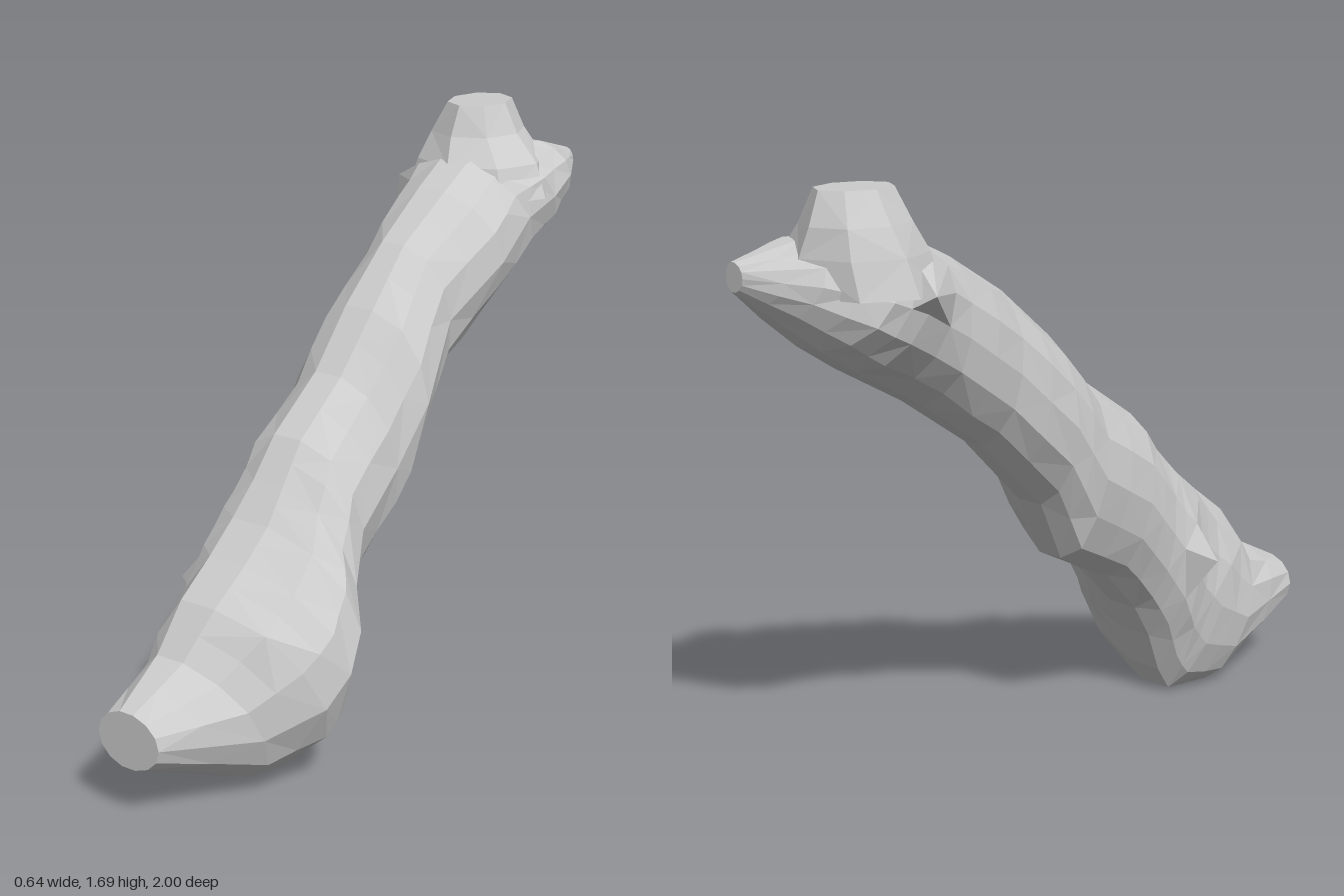
import * as THREE from 'three';

const SIDES = 14;

// Small seeded noise in -1..1
function noise(a, b) {
  const s = Math.sin(a * 12.9898 + b * 78.233) * 43758.5453;
  return (s - Math.floor(s)) * 2 - 1;
}

// Skin a list of closed rings (arrays of Vector3), capping both ends
function loft(rings) {
  const n = rings[0].length, last = rings.length - 1;
  const pos = rings.flat().flatMap((p) => p.toArray());
  const index = [];
  for (let i = 0; i < last; i++) {
    for (let j = 0; j < n; j++) {
      const k = (j + 1) % n;
      const a = i * n + j, b = i * n + k, c = a + n, d = b + n;
      if ((i + j) % 2) index.push(a, c, b, b, c, d);
      else index.push(a, c, d, a, d, b);
    }
  }
  for (let j = 1; j < n - 1; j++) {
    index.push(0, j, j + 1);
    index.push(last * n, last * n + j + 1, last * n + j);
  }
  const indexed = new THREE.BufferGeometry();
  indexed.setAttribute('position', new THREE.Float32BufferAttribute(pos, 3));
  indexed.setIndex(index);
  const flat = indexed.toNonIndexed();
  flat.computeVertexNormals();
  return flat;
}

// Slanted section: upper edge (z, y), lower edge (z, y), ridge x, min x, max x
function section([zu, yu, zl, yl, x0, xMin, xMax], i, rough) {
  return Array.from({ length: SIDES }, (_, j) => {
    const t = (j / SIDES) * Math.PI * 2;
    const c = Math.cos(t), s = Math.sin(t);
    const k = Math.abs(s) > 0.97 || Math.abs(c) > 0.97 ? 1 : 1 + rough * noise(i, j);
    return new THREE.Vector3(
      x0 + c * k * (c > 0 ? xMax - x0 : x0 - xMin),
      (yu + yl) / 2 + (s * k * (yu - yl)) / 2,
      (zu + zl) / 2 + (s * k * (zu - zl)) / 2
    );
  });
}

// Insert a halfway section between each pair
function subdivide(specs) {
  return specs.flatMap((spec, i) => {
    const next = specs[i + 1];
    return next ? [spec, spec.map((v, k) => (v + next[k]) / 2)] : [spec];
  });
}

// Pull the nearest skin point out to the tip of a knot
function pullKnot(rings, tip) {
  const nearest = rings.flat().reduce((a, b) =>
    (b.distanceToSquared(tip) < a.distanceToSquared(tip) ? b : a));
  nearest.copy(tip);
}

export function createModel() {
  const group = new THREE.Group();
  group.name = 'gnarledLimb';
  const material = new THREE.MeshStandardMaterial({ color: 0xcccccc, flatShading: true });

  // Main limb, from the blunt front foot up to the pointed rear knob
  const limbSpecs = subdivide([
    [1.00, 0.34, 1.00, 0.17, -0.07, -0.17, 0.04],
    [0.82, 0.43, 0.65, 0.00, -0.08, -0.215, 0.19],
    [0.72, 0.56, 0.48, 0.01, -0.07, -0.22, 0.30],
    [0.60, 0.65, 0.44, 0.08, -0.06, -0.22, 0.325],
    [0.50, 0.73, 0.40, 0.20, -0.05, -0.235, 0.31],
    [0.42, 0.82, 0.35, 0.30, -0.04, -0.21, 0.25],
    [0.33, 0.93, 0.23, 0.43, -0.03, -0.21, 0.20],
    [0.13, 1.06, 0.03, 0.53, -0.03, -0.215, 0.18],
    [-0.02, 1.22, -0.05, 0.71, -0.03, -0.21, 0.21],
    [-0.20, 1.37, -0.28, 0.93, -0.03, -0.19, 0.15],
    [-0.40, 1.49, -0.50, 1.08, -0.03, -0.21, 0.20],
    [-0.53, 1.55, -0.74, 1.21, -0.03, -0.25, 0.18],
    [-0.66, 1.57, -0.84, 1.28, 0.00, -0.25, 0.20],
    [-0.84, 1.57, -0.92, 1.36, 0.06, -0.13, 0.18],
    [-1.00, 1.52, -1.00, 1.44, 0.09, 0.05, 0.12],
  ]);
  const limbRings = limbSpecs.map((spec, i) =>
    section(spec, i, i === 0 || i === limbSpecs.length - 1 ? 0 : 0.035));

  // Sharp knots on the right side, low and high
  pullKnot(limbRings, new THREE.Vector3(-0.305, 0.48, 0.47));
  pullKnot(limbRings, new THREE.Vector3(-0.33, 1.44, -0.59));
  pullKnot(limbRings, new THREE.Vector3(-0.32, 1.44, -0.67));

  const limb = new THREE.Mesh(loft(limbRings), material);
  limb.name = 'limb';
  group.add(limb);

  // Flat-topped stub flaring into the upper end: y, centre x, centre z, radius x, radius z
  const stubRings = [
    [1.70, -0.055, -0.715, 0.09, 0.118],
    [1.61, -0.06, -0.715, 0.14, 0.155],
    [1.53, -0.04, -0.70, 0.20, 0.19],
    [1.43, -0.04, -0.69, 0.24, 0.20],
  ].map(([y, cx, cz, rx, rz]) =>
    Array.from({ length: 8 }, (_, j) => {
      const t = (j / 8) * Math.PI * 2;
      return new THREE.Vector3(cx + rx * Math.cos(t), y, cz - rz * Math.sin(t));
    })
  );
  const stub = new THREE.Mesh(loft(stubRings), material);
  stub.name = 'upperStub';
  group.add(stub);

  return group;
}
